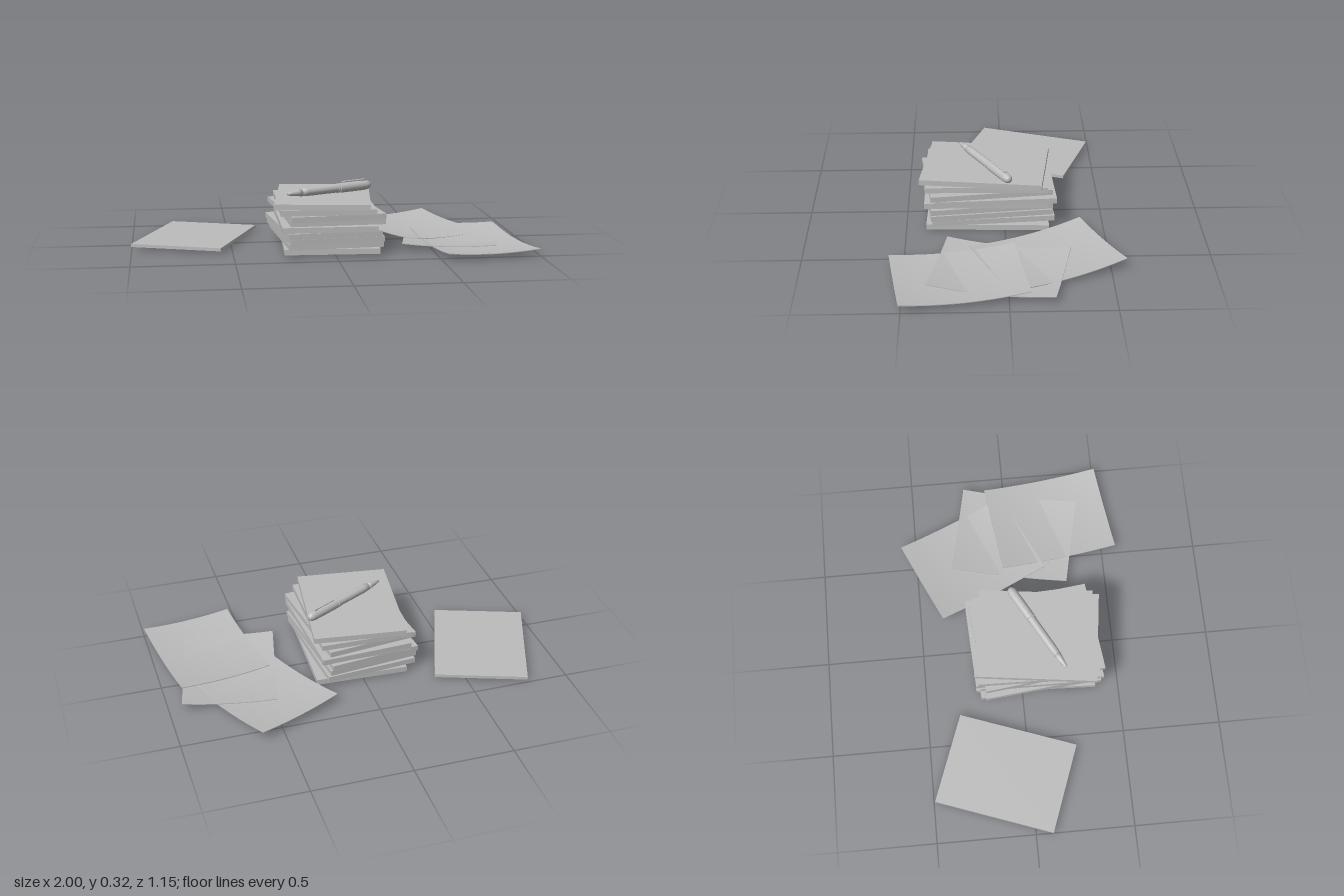
import * as THREE from 'three';
import { RoundedBoxGeometry } from 'three/addons/geometries/RoundedBoxGeometry.js';

const W = 0.472, L = 0.62;

export function createModel() {
  const root = new THREE.Group();
  const grey = new THREE.MeshStandardMaterial({ color: 0xbcbcbc });
  grey.name = 'plain grey';

  const add = (parent, name, geometry, x, y, z, turn = 0) => {
    const mesh = new THREE.Mesh(geometry, grey);
    mesh.name = name;
    mesh.position.set(x, y, z);
    mesh.rotation.y = turn;
    parent.add(mesh);
    return mesh;
  };

  // Stack of thin pads, bottom to top: x, z, turn
  const stack = new THREE.Group();
  stack.name = 'padStack';
  root.add(stack);
  const t = 0.028;
  [
    [-0.005, 0.08, -0.04], [-0.02, 0.075, 0.08], [-0.025, 0.09, 0.11],
    [-0.035, 0.09, 0.11], [-0.025, 0.095, -0.01], [0, 0.06, 0.05],
    [-0.02, 0.092, 0.118], [-0.03, 0.09, -0.02], [-0.03, 0.095, -0.13],
  ].forEach(([x, z, turn], i) =>
    add(stack, 'pad' + (i + 1), new THREE.BoxGeometry(W, t, L), x, 0.01 + t * (i + 0.5), z, turn));

  // Single pad lying apart
  add(root, 'loosePad', new THREE.BoxGeometry(W, 0.016, L), -0.675, 0.018, -0.122, -0.35);

  // Loose sheets curling up toward their edges
  const sheet = (tilt) => {
    const g = new THREE.BoxGeometry(W, 0.004, L, 16, 1, 20);
    const p = g.attributes.position;
    for (let i = 0; i < p.count; i++) {
      const u = p.getX(i) / (W / 2), v = p.getZ(i) / (L / 2);
      p.setY(i, p.getY(i) + 0.002 + 0.012 * u * u + 0.022 * v * v - tilt * v);
    }
    g.computeVertexNormals();
    return g;
  };
  add(root, 'bottomSheet', sheet(0), 0.64, 0, 0.0375, -0.21);
  add(root, 'backSheet', sheet(0.008), 0.5275, 0.007, -0.1975, 0.43);
  add(root, 'frontSheet', sheet(0.007), 0.72, 0.01, 0.235, 0.137);

  // Pen resting on the stack
  const pen = new THREE.Group();
  pen.name = 'pen';
  pen.position.set(0.003, 0.287, 0.1);
  pen.rotation.y = 0.5;
  root.add(pen);
  const turned = (name, points) => {
    const g = new THREE.LatheGeometry(points.map(([r, s]) => new THREE.Vector2(r, s)), 28);
    g.rotateZ(-Math.PI / 2);
    add(pen, name, g, 0, 0, 0);
  };
  turned('penTip', [[0, -0.258], [0.007, -0.256], [0.011, -0.235], [0.016, -0.2], [0.019, -0.175], [0, -0.175]]);
  turned('penBarrel', [[0, -0.175], [0.019, -0.175], [0.021, -0.14], [0.0215, 0], [0.0215, 0.06]]);
  turned('penRing', [[0.0215, 0.045], [0.0235, 0.045], [0.0235, 0.058], [0.0215, 0.058]]);
  turned('penCap', [[0.021, 0.062], [0.0245, 0.062], [0.025, 0.15], [0.0245, 0.22],
    [0.022, 0.24], [0.016, 0.252], [0.008, 0.257], [0, 0.258]]);
  add(pen, 'penClip', new RoundedBoxGeometry(0.14, 0.006, 0.014, 2, 0.0025), 0.15, 0.031, 0);
  add(pen, 'clipMount', new THREE.BoxGeometry(0.02, 0.012, 0.012), 0.205, 0.024, 0);

  return root;
}
